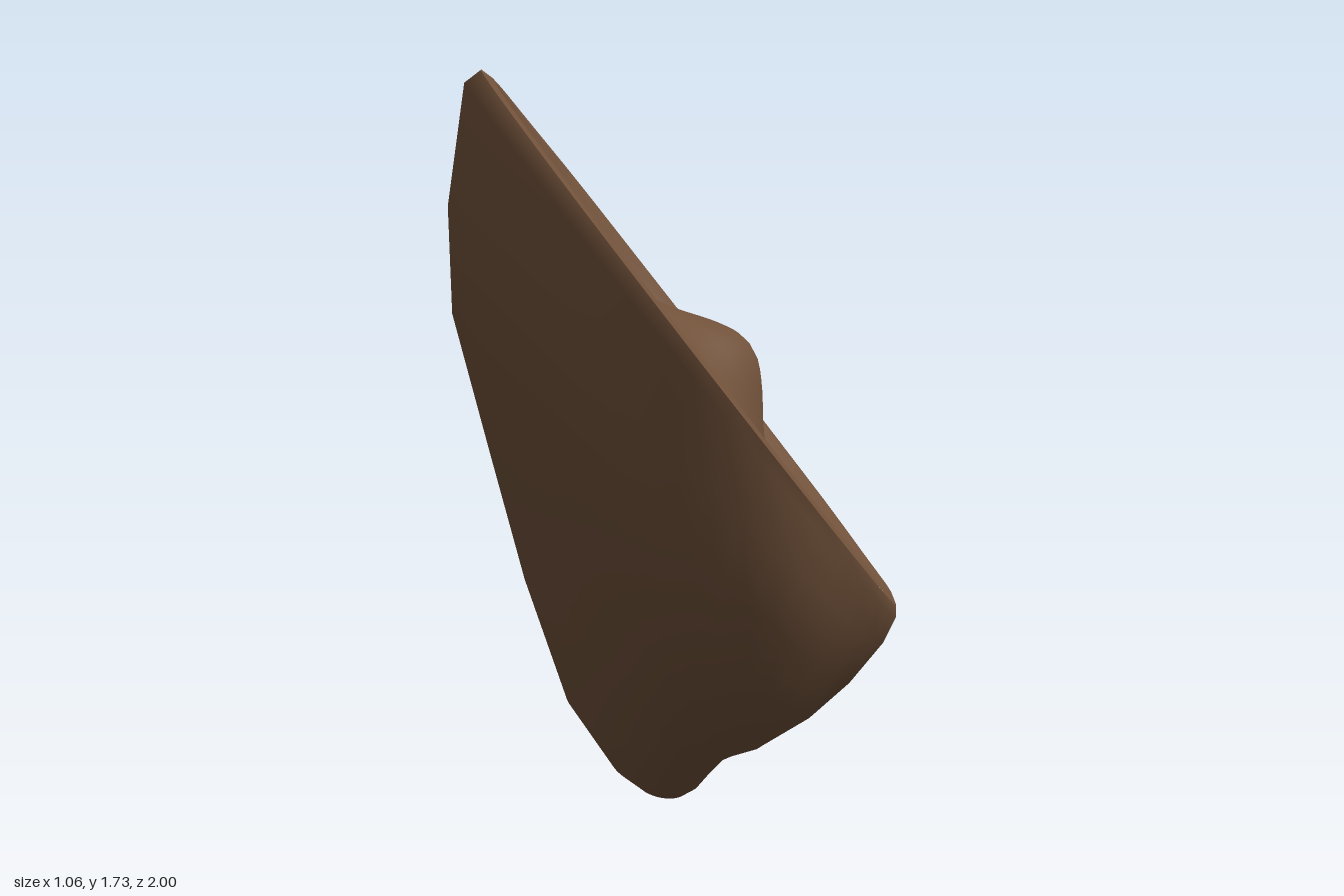
import * as THREE from 'three';

const SIDES = 40;
const CENTRE = new THREE.Vector3(0.04, 1.09, 0);
const DOWN = new THREE.Vector3(0.608, -0.794, 0); // along the tilted rim, towards its low edge
const NORMAL = new THREE.Vector3(0.794, 0.608, 0); // out of the open face
const HALF_U = 0.806;
const HALF_W = 1;

// Joins closed loops of points into a smooth surface.
function loft(loops) {
  const n = loops[0].length;
  const index = [];
  for (let k = 0; k < loops.length - 1; k++) {
    for (let i = 0; i < n; i++) {
      const a = k * n + i, b = k * n + (i + 1) % n;
      index.push(a, b, a + n, b, b + n, a + n);
    }
  }
  const geometry = new THREE.BufferGeometry().setFromPoints(loops.flat());
  geometry.setIndex(index);
  geometry.computeVertexNormals();
  return geometry;
}

function loop(fn) {
  return Array.from({ length: SIDES }, (_, i) => fn(i / SIDES * Math.PI * 2));
}

// Height of the basin floor above or below the rim plane.
const FLOOR = [[0, -0.04], [0.5, -0.055], [0.72, -0.085], [0.86, -0.04], [0.94, 0.012], [1, 0]];
function floorHeight(u, w) {
  const r = Math.min(1, Math.hypot(u / HALF_U, w / HALF_W));
  const k = Math.max(1, FLOOR.findIndex(p => p[0] >= r));
  const [r0, h0] = FLOOR[k - 1], [r1, h1] = FLOOR[k];
  const base = THREE.MathUtils.lerp(h0, h1, THREE.MathUtils.smoothstep(r, r0, r1));
  const bump = 0.15 * Math.exp(-(((u - 0.13) / 0.19) ** 2) - ((w + 0.12) / 0.22) ** 2);
  const ripple = 0.016 * Math.sin(7 * u + 2) * Math.sin(8 * w + 1) * (1 - r * r);
  return base + bump + ripple;
}

function onFloor(u, w, lift = 0) {
  return CENTRE.clone().addScaledVector(DOWN, u)
    .addScaledVector(NORMAL, floorHeight(u, w) + lift)
    .add(new THREE.Vector3(0, 0, w));
}

// Shell rings: high side x, y; low side x, y; front z; back z.
const RINGS = [
  [-0.45, 1.73, 0.53, 0.45, 1.0, -1.0],
  [-0.49, 1.7, 0.53, 0.42, 0.995, -0.995],
  [-0.53, 1.4, 0.5, 0.36, 0.97, -0.97],
  [-0.52, 1.14, 0.42, 0.27, 0.93, -0.92],
  [-0.43, 0.8, 0.32, 0.19, 0.84, -0.81],
  [-0.35, 0.5, 0.2, 0.12, 0.68, -0.63],
  [-0.25, 0.21, 0.12, 0.1, 0.51, -0.46],
  [-0.14, 0.05, 0.06, 0.03, 0.34, -0.34],
  [-0.08, 0.004, 0.03, 0.004, 0.2, -0.18],
  [-0.03, 0, -0.03, 0, 0, 0],
];

function shellGeometry() {
  return loft(RINGS.map(([hx, hy, lx, ly, front, back], k) => loop(t => {
    const wobble = k > 1 && k < 7 ? 1 + 0.014 * Math.sin(5 * t + k * 1.3) * Math.sin(t) ** 2 : 1;
    const c = (1 + Math.cos(t) * wobble) / 2;
    return new THREE.Vector3(
      THREE.MathUtils.lerp(hx, lx, c),
      THREE.MathUtils.lerp(hy, ly, c),
      (front + back) / 2 + (front - back) / 2 * Math.sin(t) * wobble,
    );
  })));
}

function basinGeometry() {
  const rings = 26;
  return loft(Array.from({ length: rings + 1 }, (_, k) => {
    const r = k / rings;
    return loop(t => onFloor(HALF_U * r * Math.cos(t), HALF_W * r * Math.sin(t)));
  }));
}

// Patch outlines as z, y pairs.
const PATCHES = {
  largePatch: [[0.3, 0.8], [0.36, 0.79], [0.46, 0.84], [0.53, 0.9], [0.53, 0.97], [0.42, 0.99], [0.27, 0.96], [0.27, 0.85]],
  sidePatch: [[-0.42, 0.88], [-0.36, 0.92], [-0.35, 0.98], [-0.41, 1.0], [-0.48, 0.96], [-0.47, 0.9]],
  upperPatch: [[-0.28, 1.18], [-0.24, 1.2], [-0.25, 1.23], [-0.29, 1.28], [-0.33, 1.26], [-0.32, 1.22]],
};

function patchGeometry(outline) {
  const edge = outline.map(([z, y]) => {
    let u = 0;
    for (let i = 0; i < 8; i++) u = (CENTRE.y + NORMAL.y * floorHeight(u, z) - y) / -DOWN.y;
    return new THREE.Vector2(u, z);
  });
  const mid = edge.reduce((sum, p) => sum.add(p), new THREE.Vector2()).divideScalar(edge.length);
  return loft([0, 0.25, 0.5, 0.75, 1].map(s => edge.map(p => {
    const q = mid.clone().lerp(p, s);
    return onFloor(q.x, q.y, 0.007);
  })));
}

export function createModel() {
  const brown = new THREE.MeshStandardMaterial({ color: 0x70513a });
  brown.name = 'earth brown';
  const olive = new THREE.MeshStandardMaterial({ color: 0x80721f });
  olive.name = 'moss yellow';

  const model = new THREE.Group();
  model.name = 'hollowRock';
  const add = (name, geometry, material) => {
    const mesh = new THREE.Mesh(geometry, material);
    mesh.name = name;
    model.add(mesh);
  };

  add('shell', shellGeometry(), brown);
  add('basin', basinGeometry(), brown);
  for (const [name, outline] of Object.entries(PATCHES)) add(name, patchGeometry(outline), olive);
  return model;
}
